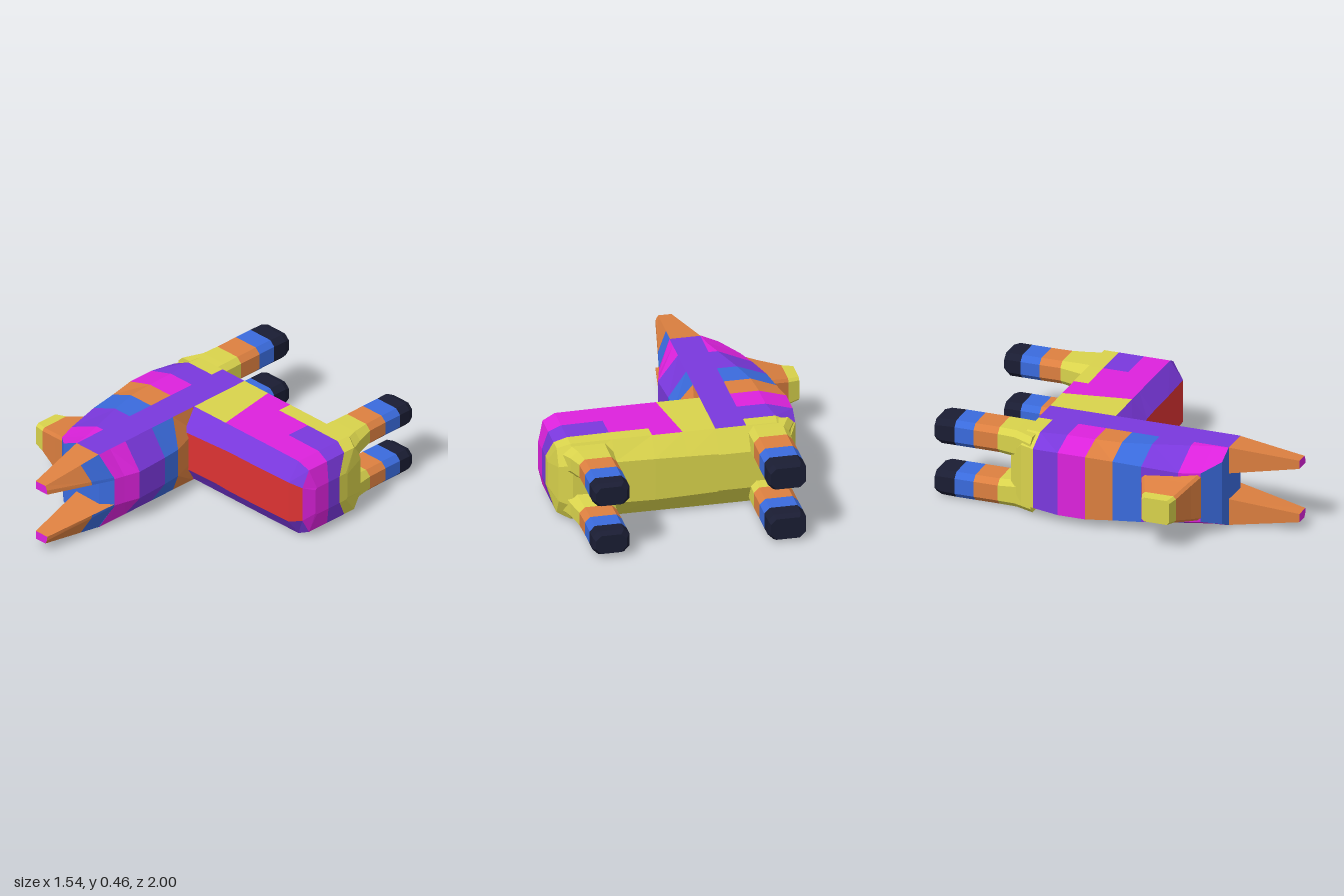
import * as THREE from 'three';

const H = 0.455; // full thickness; the animal lies on its side, symmetric about y = H / 2
const C = {
  Y: 0xd9d34c, M: 0xdd22dd, P: 0x7a38dd, B: 0x3a6bdd, O: 0xdd8040, N: 0x1a1d33, R: 0xdd3333,
};
const materials = {};
for (const k in C) materials[k] = new THREE.MeshStandardMaterial({ color: C[k], flatShading: true });

// Skin a list of rings; colour(band, side) gives a patch colour, capColour(end, strip) the end caps.
function patchLoft(name, rings, colour, capColour) {
  const n = rings[0].length, faces = [];
  const quad = (a, b, c, d, key) => faces.push([a, b, c, key], [a, c, d, key]);
  for (let b = 0; b < rings.length - 1; b++)
    for (let i = 0; i < n; i++) {
      const j = (i + 1) % n;
      quad(rings[b][i], rings[b][j], rings[b + 1][j], rings[b + 1][i], colour(b, i));
    }
  // Caps are strips joining each point to its opposite number
  [rings[0], rings[rings.length - 1]].forEach((r, end) => {
    for (let k = 0; k < Math.ceil(n / 2) - 1; k++) {
      const p = [r[k], r[n - 1 - k], r[n - 2 - k], r[k + 1]];
      if (end) p.reverse();
      quad(...p, capColour(end, k));
    }
  });
  // Turn everything outward if the signed volume is negative
  const [u, v, w] = [0, 1, 2].map(() => new THREE.Vector3());
  let volume = 0;
  for (const f of faces) {
    u.fromArray(f[0]); v.fromArray(f[1]); w.fromArray(f[2]);
    volume += u.dot(v.cross(w));
  }
  const patches = {};
  for (const [a, b, c, key] of faces)
    (patches[key] ??= []).push(...a, ...(volume < 0 ? [...c, ...b] : [...b, ...c]));
  const group = new THREE.Group();
  group.name = name;
  for (const key in patches) {
    const g = new THREE.BufferGeometry();
    g.setAttribute('position', new THREE.Float32BufferAttribute(patches[key], 3));
    g.computeVertexNormals();
    const mesh = new THREE.Mesh(g, materials[key]);
    mesh.name = name + 'Patch' + key;
    group.add(mesh);
  }
  return group;
}

// Close a half section by mirroring it in y
const mirrorHalf = (half) => [...half, ...half.map(([x, y, z]) => [x, H - y, z]).reverse()];
const flip = (rings) => rings.map((r) => r.map(([x, y, z]) => [x, H - y, z]));
// Rectangle with cut corners as [a, b] pairs
const octagon = (a0, a1, b0, b1, c) => [
  [a0 + c, b1], [a1 - c, b1], [a1, b1 - c], [a1, b0 + c],
  [a1 - c, b0], [a0 + c, b0], [a0, b0 + c], [a0, b1 - c],
];

// Trunk and rump, running along x
function trunk() {
  const rings = [ // x, front z, front top z, back top z, back z, top y, side y
    [-0.13, -0.01, -0.1, -0.48, -0.56, 0.455, 0.34],
    [0.05, -0.02, -0.1, -0.48, -0.56, 0.455, 0.345],
    [0.22, -0.02, -0.1, -0.48, -0.56, 0.455, 0.35],
    [0.44, -0.02, -0.1, -0.48, -0.55, 0.455, 0.35],
    [0.67, -0.025, -0.1, -0.48, -0.54, 0.453, 0.35],
    [0.74, -0.06, -0.11, -0.45, -0.5, 0.42, 0.33],
    [0.77, -0.13, -0.14, -0.36, -0.37, 0.31, 0.3],
  ].map(([x, zf, zft, zbt, zb, yt, ys], i) => {
    const half = [[zf, ys], [zft, yt], [zft * 0.6 + zbt * 0.4, yt],
      [zft * 0.22 + zbt * 0.78, yt], [zbt, yt], [zb, ys]];
    return mirrorHalf(half.map(([z, y]) => [x + (i === 1 ? (z + 0.48) * 0.16 : 0), y, z]));
  });
  const top = ['YYY', 'MMM', 'MMY', 'MPY', 'MPY', 'MPY'];
  const under = ['MMM', 'MMM', 'PPY', 'PPY', 'PPY', 'MPY'];
  return patchLoft('trunk', rings, (b, i) => {
    if (i === 11) return b < 5 ? 'R' : 'M';
    if (i === 0 || i === 10) return b < 5 ? 'P' : 'M';
    if (i >= 4 && i <= 6) return 'Y';
    return i < 4 ? top[b][i - 1] : under[b][9 - i];
  }, (end, k) => 'MMPYY'[k]);
}

// Chest, neck and head in one run along z; the last column is the z of the nape
function neckAndHead() {
  const rings = [ // z, nape x, throat top x, throat x, throat y, top y, nape z
    [-0.56, -0.125, -0.45, -0.5, 0.325, 0.335],
    [-0.48, -0.12, -0.47, -0.56, 0.4, H],
    [-0.4, -0.12, -0.48, -0.59, 0.4, H],
    [-0.25, -0.12, -0.46, -0.61, 0.41, H],
    [-0.09, -0.11, -0.46, -0.61, 0.41, H],
    [0.06, -0.04, -0.45, -0.59, 0.4, H, 0.11],
    [0.22, -0.03, -0.41, -0.575, 0.39, H],
    [0.42, -0.02, -0.35, -0.54, 0.37, H],
    [0.535, -0.045, -0.315, -0.5, 0.37, H, 0.51],
    [0.62, -0.06, -0.305, -0.4, 0.41, H, 0.57],
  ].map(([z, xr, xm, xl, yl, yt, zr = z]) => mirrorHalf(
    [[xr, 0.31, zr], [-0.13, yt, z], [-0.3, yt, z], [xm, yt, z], [xl, yl, z]]));
  const bands = 'YYPMOBPMM';
  return patchLoft('neckAndHead', rings, (b, i) => {
    if (i === 1) return b === 0 ? 'Y' : 'P';
    if (i === 7) return b === 0 ? 'Y' : 'M';
    return b === 8 && i === 4 ? 'B' : bands[b];
  }, (end) => (end ? 'B' : 'Y'));
}

// Snout pointing to -x
function snout() {
  const rings = [ // x, z range, y range
    [-0.47, 0.2, 0.545, 0.085, 0.37], [-0.58, 0.225, 0.51, 0.115, 0.34],
    [-0.71, 0.28, 0.475, 0.155, 0.31], [-0.773, 0.3, 0.46, 0.165, 0.305],
  ].map(([x, z0, z1, y0, y1]) => octagon(z0, z1, y0, y1, 0.015).map(([z, y]) => [x, y, z]));
  return patchLoft('snout', rings, (b) => 'OOY'[b], () => 'Y');
}

// Legs: z, x range, y range, corner cut per ring
function leg(name, rows, mirrored) {
  let rings = rows.map(([z, x0, x1, y0, y1, c = 0.03]) =>
    octagon(x0, x1, y0, y1, c).map(([x, y]) => [x, y, z]));
  if (mirrored) rings = flip(rings);
  return patchLoft(name, rings, (b) => 'YYOBNN'[b], (end) => (end ? 'N' : 'Y'));
}
const frontLegRows = [
  [-0.42, -0.575, -0.31, 0.24, 0.448], [-0.53, -0.525, -0.308, 0.295, 0.452],
  [-0.63, -0.52, -0.308, 0.305, 0.453], [-0.77, -0.52, -0.308, 0.305, 0.453],
  [-0.88, -0.52, -0.308, 0.305, 0.453], [-0.965, -0.52, -0.308, 0.305, 0.45],
  [-1, -0.508, -0.318, 0.318, 0.44],
];
const backLegRows = [
  [-0.43, 0.43, 0.735, 0.22, 0.44, 0.05], [-0.55, 0.445, 0.685, 0.285, 0.44, 0.04],
  [-0.65, 0.455, 0.66, 0.305, 0.438], [-0.77, 0.453, 0.657, 0.305, 0.438],
  [-0.88, 0.453, 0.657, 0.305, 0.438], [-0.95, 0.453, 0.657, 0.305, 0.438],
  [-0.983, 0.475, 0.645, 0.318, 0.425],
];

// Ear tapering forward from the slanted top of the head
function ear(mirrored) {
  const base = [[-0.06, 0.303, 0.568], [-0.063, 0.318, 0.568], [-0.132, H, 0.618],
    [-0.302, H, 0.618], [-0.302, 0.303, 0.618]];
  const tip = [[-0.14, 0.36], [-0.142, 0.385], [-0.155, 0.408], [-0.228, 0.408], [-0.228, 0.36]];
  let rings = [0, 0.34, 1].map((t) => base.map(([x, y, z], i) => [
    x + (tip[i][0] - x) * t, y + (tip[i][1] - y) * t, z + (1 - z) * t]));
  if (mirrored) rings = flip(rings);
  return patchLoft('ear', rings, (b, i) => (b === 0 && i < 2 ? 'B' : 'O'), () => 'M');
}

export function createModel() {
  const model = new THREE.Group();
  model.name = 'lyingAnimal';
  model.add(trunk(), neckAndHead(), snout());
  for (const mirrored of [false, true])
    model.add(leg('frontLeg', frontLegRows, mirrored), leg('backLeg', backLegRows, mirrored),
      ear(mirrored));
  return model;
}
